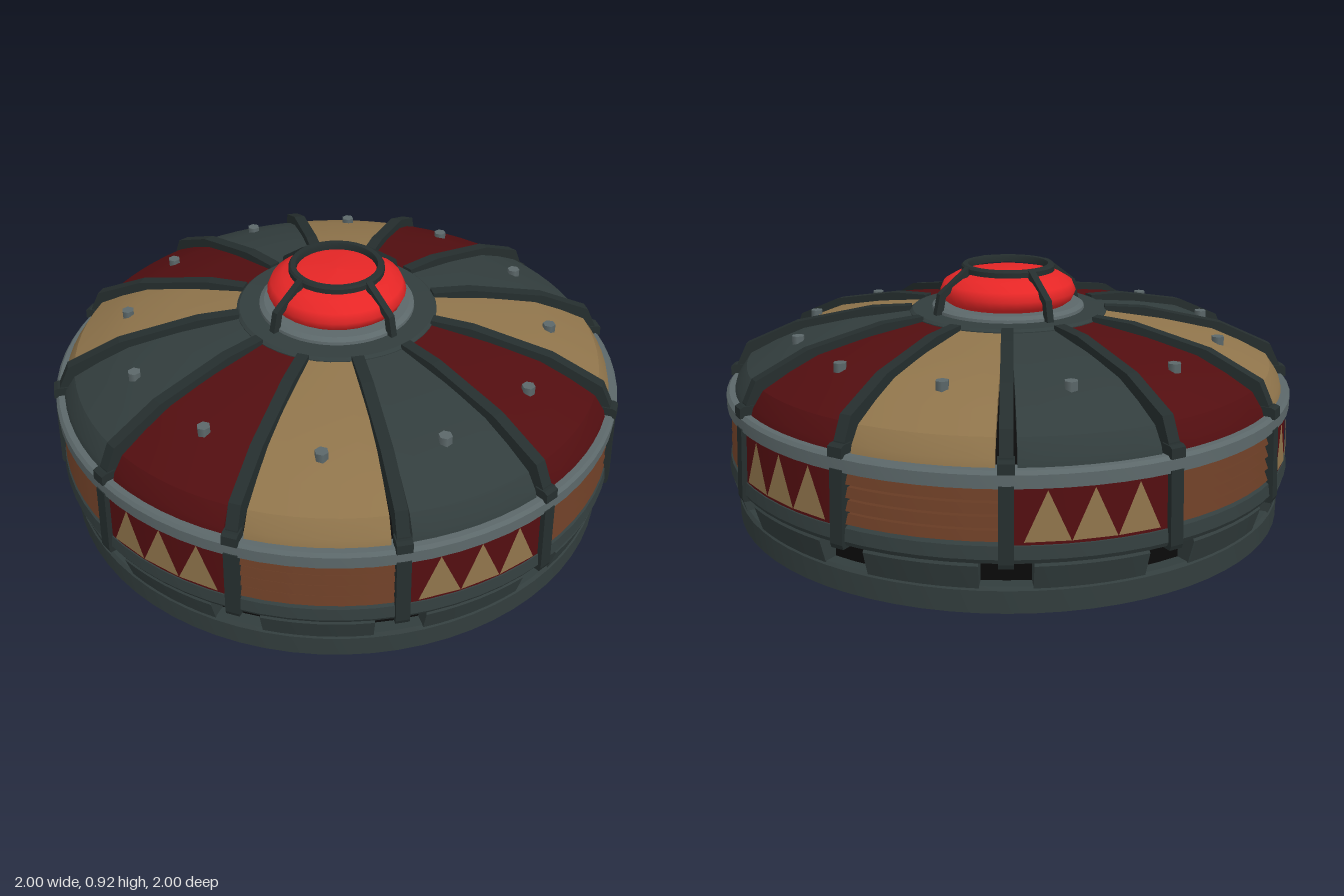
import * as THREE from 'three';
import { mergeGeometries, toCreasedNormals } from 'three/addons/utils/BufferGeometryUtils.js';

const mat = (name, color) => {
  const m = new THREE.MeshStandardMaterial({ color });
  m.name = name;
  return m;
};
const M = {
  slate: mat('slate', 0x323d3d),
  trim: mat('dark trim', 0x252e2e),
  steel: mat('steel grey', 0x5c686a),
  darkRed: mat('dark red', 0x520e10),
  tan: mat('tan', 0x8f744b),
  brown: mat('brown', 0x673b24),
  lamp: mat('bright red', 0xe62626),
  black: mat('black', 0x0a0a0a),
};
const DEG = Math.PI / 180;
const SECTORS = 12, STEP = 30 * DEG;

// Angles run from +z towards +x; profiles are [radius, height], counter-clockwise.
const vecs = (pts) => pts.map(([r, y]) => new THREE.Vector2(r, y));

function ring(pts, segments = 72) {
  return toCreasedNormals(new THREE.LatheGeometry(vecs(pts), segments), 0.5);
}

// Solid slice of a ring, closed at both ends
function slice(pts, start, end) {
  const body = toCreasedNormals(
    new THREE.LatheGeometry(vecs([...pts, pts[0]]), 6, start, end - start), 0.45);
  const cap = (side, turn) => new THREE.ShapeGeometry(
    new THREE.Shape(vecs(pts.map(([r, y]) => [r * side, y])))).rotateY(turn).toNonIndexed();
  return mergeGeometries([body, cap(1, start - Math.PI / 2), cap(-1, end + Math.PI / 2)]);
}

// Upright plate lying in a radial plane
function fin(pts, width, angle) {
  return new THREE.ExtrudeGeometry(new THREE.Shape(vecs(pts)), { depth: width, bevelEnabled: false })
    .translate(0, 0, -width / 2).rotateY(angle - Math.PI / 2);
}

const wallRadius = (y) => 0.972 + (0.48 - y) * 0.05;

// Row of upright triangles lying on the side wall
function pennants(start) {
  const pos = [];
  const put = (deg, y) => {
    const a = start + deg * DEG, r = wallRadius(y) + 0.005;
    pos.push(r * Math.sin(a), y, r * Math.cos(a));
  };
  for (const c of [6.9, 15, 23.1]) {
    put(c - 4, 0.312);
    put(c + 4, 0.312);
    put(c, 0.466);
  }
  const g = new THREE.BufferGeometry();
  g.setAttribute('position', new THREE.Float32BufferAttribute(pos, 3));
  g.computeVertexNormals();
  return g;
}

export function createModel() {
  const model = new THREE.Group();
  model.name = 'domedDisc';
  const add = (name, geometry, material, parent = model) => {
    const mesh = new THREE.Mesh(geometry, material);
    mesh.name = name;
    parent.add(mesh);
    return mesh;
  };

  // Base, core and the dark shell under the roof panels
  add('underside', ring([[0, 0.005], [0.69, 0.005], [0.93, 0.08]]), M.black);
  add('core', ring([[0.915, 0.1], [0.915, 0.5], [0.87, 0.56], [0.7, 0.645], [0.3, 0.715], [0, 0.72]]), M.black);
  add('baseRing', ring([[0.9, 0.078], [0.965, 0.078], [0.965, 0.15], [0.955, 0.16], [0.9, 0.16]]), M.slate);

  // Bands around the wall
  add('lowerLip', ring([[0.9, 0.245], [0.982, 0.245], [0.99, 0.26], [0.984, 0.3], [0.965, 0.31]]), M.slate);
  add('rimRing', ring([[0.94, 0.474], [0.985, 0.474], [0.985, 0.515], [0.975, 0.526], [0.93, 0.526]]), M.steel);

  const roofColours = [M.darkRed, M.tan, M.slate];
  const roofProfile = [[0.925, 0.525], [0.955, 0.525], [0.948, 0.55], [0.912, 0.602], [0.82, 0.65],
    [0.72, 0.692], [0.54, 0.728], [0.33, 0.757], [0.33, 0.725], [0.7, 0.66], [0.89, 0.575]];

  for (let i = 0; i < SECTORS; i++) {
    const a = i * STEP, mid = a + STEP / 2;
    const sector = new THREE.Group();
    sector.name = 'sector';
    model.add(sector);

    // Roof panel and its bolt
    add('roofPanel', slice(roofProfile, a + 1.9 * DEG, a + STEP - 1.9 * DEG), roofColours[i % 3], sector);
    const bolt = add('roofBolt', new THREE.CylinderGeometry(0.022, 0.022, 0.035, 6), M.steel, sector);
    bolt.position.set(0.735 * Math.sin(mid), 0.69, 0.735 * Math.cos(mid));

    // Side wall: pennant panels alternate with louvres
    const wall = [[0.91, 0.3], [wallRadius(0.3), 0.3], [wallRadius(0.48), 0.48], [0.91, 0.48]];
    if (i % 2 === 0) {
      add('pennantPanel', slice(wall, a, a + STEP), M.darkRed, sector);
      add('pennants', pennants(a), M.tan, sector);
    } else {
      for (let k = 0; k < 4; k++) {
        const y = 0.312 + k * 0.041, r = wallRadius(y);
        add('louvreSlat', slice([[0.93, y], [r, y], [r - 0.012, y + 0.029], [0.93, y + 0.029]],
          a + 1 * DEG, a + STEP - 1 * DEG), M.brown, sector);
      }
    }

    // Skirt block, leaving a notch under each post
    add('skirtBlock', slice([[0.9, 0.155], [0.96, 0.155], [0.983, 0.235], [0.975, 0.247], [0.9, 0.247]],
      a + 4.7 * DEG, a + STEP - 4.7 * DEG), M.slate, sector);

    // Roof rib, its end block and the wall post
    add('roofRib', fin([[0.34, 0.72], [0.72, 0.655], [0.9, 0.57], [0.93, 0.52], [0.972, 0.52],
      [0.965, 0.56], [0.93, 0.632], [0.75, 0.712], [0.48, 0.766], [0.34, 0.772]], 0.04, a), M.trim, sector);
    add('ribEnd', fin([[0.94, 0.518], [0.99, 0.518], [0.988, 0.55], [0.975, 0.556], [0.94, 0.556]],
      0.05, a), M.trim, sector);
    add('wallPost', fin([[0.93, 0.235], [0.995, 0.235], [1, 0.25], [0.988, 0.482], [0.93, 0.482]],
      0.045, a), M.trim, sector);
  }

  // Collar and lamp seat
  add('collar', ring([[0.345, 0.725], [0.345, 0.758], [0.335, 0.766], [0.2, 0.77]], 48), M.slate);
  add('lampSeat', ring([[0.268, 0.765], [0.266, 0.778], [0.25, 0.788], [0.17, 0.788]], 48), M.steel);

  // Lamp dome
  add('lamp', new THREE.LatheGeometry(vecs([[0.19, 0.775], [0.225, 0.8], [0.238, 0.83], [0.225, 0.86],
    [0.185, 0.884], [0.12, 0.898], [0, 0.904]]), 32), M.lamp);

  // Guard cage over the lamp
  const cage = new THREE.Group();
  cage.name = 'lampGuard';
  model.add(cage);
  add('guardRing', ring([[0.137, 0.898], [0.163, 0.898], [0.163, 0.915], [0.157, 0.922],
    [0.14, 0.922], [0.137, 0.915], [0.137, 0.898]], 32), M.trim, cage);
  for (let i = 0; i < 4; i++) {
    add('guardBar', fin([[0.262, 0.765], [0.288, 0.765], [0.272, 0.838], [0.16, 0.922],
      [0.145, 0.904], [0.25, 0.826]], 0.024, i * Math.PI / 2), M.trim, cage);
  }
  return model;
}
